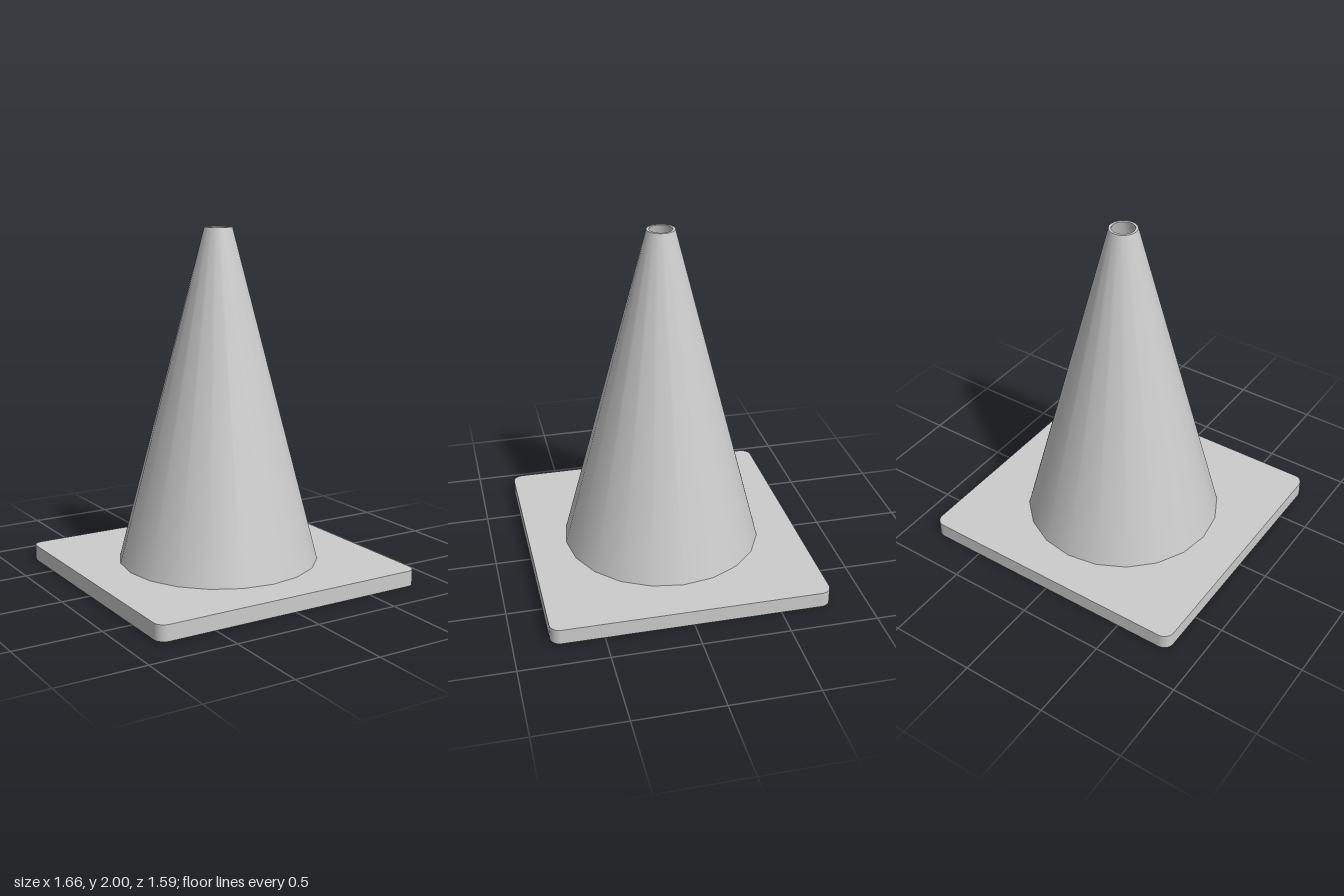
import * as THREE from 'three';

const SIDES = 20;
const BASE_Y = 0.09, HALF_X = 0.83, HALF_Z = 0.795, CORNER = 0.06;
const OUTER_R = 0.577, INNER_R = 0.553, FLOOR_Y = 0.1;

// Rounded rectangle outline, counter-clockwise
function outline() {
  const s = new THREE.Shape(), x = HALF_X - CORNER, z = HALF_Z - CORNER;
  s.absarc(x, z, CORNER, 0, Math.PI / 2);
  s.absarc(-x, z, CORNER, Math.PI / 2, Math.PI);
  s.absarc(-x, -z, CORNER, Math.PI, Math.PI * 1.5);
  s.absarc(x, -z, CORNER, Math.PI * 1.5, Math.PI * 2);
  return s;
}

// Upright band that follows the outline from the ground to the plate
function skirtGeometry(points) {
  const pos = [], index = [], n = points.length;
  points.forEach((p, i) => {
    pos.push(p.x, 0, -p.y, p.x, BASE_Y, -p.y);
    const a = 2 * i, b = 2 * ((i + 1) % n);
    index.push(a, b, b + 1, a, b + 1, a + 1);
  });
  const g = new THREE.BufferGeometry();
  g.setAttribute('position', new THREE.Float32BufferAttribute(pos, 3));
  g.setIndex(index);
  g.computeVertexNormals();
  return g;
}

export function createModel() {
  const group = new THREE.Group();
  const material = new THREE.MeshStandardMaterial({ color: 0xcccccc, side: THREE.DoubleSide });
  const add = (name, geometry, parent = group) => {
    const mesh = new THREE.Mesh(geometry, material);
    mesh.name = name;
    parent.add(mesh);
    return mesh;
  };
  const lathe = (...pts) =>
    new THREE.LatheGeometry(pts.map(([r, y]) => new THREE.Vector2(r, y)), SIDES);

  // Base: a shallow tray, open underneath
  const base = new THREE.Group();
  base.name = 'base';
  group.add(base);
  add('baseSkirt', skirtGeometry(outline().getPoints(6).slice(0, -1)), base);
  const top = outline();
  const hole = new THREE.Path();
  for (let i = 0; i <= SIDES; i++) {
    const a = -i / SIDES * Math.PI * 2, x = INNER_R * Math.cos(a), y = INNER_R * Math.sin(a);
    if (i) hole.lineTo(x, y); else hole.moveTo(x, y);
  }
  top.holes.push(hole);
  add('basePlate', new THREE.ShapeGeometry(top, 6).rotateX(-Math.PI / 2).translate(0, BASE_Y, 0), base);

  // Cone: outer and inner walls joined by a flat rim
  const cone = new THREE.Group();
  cone.name = 'cone';
  group.add(cone);
  add('outerWall', lathe([OUTER_R, BASE_Y], [0.08, 2]), cone);
  add('topRim', lathe([0.08, 2], [0.065, 2]), cone);
  add('innerWall', lathe([0.065, 2], [INNER_R, BASE_Y]), cone);

  // Floor closing the cone just above the plate's underside
  add('coneFloor', new THREE.CircleGeometry(INNER_R, SIDES).rotateX(-Math.PI / 2).translate(0, FLOOR_Y, 0), cone);

  return group;
}
